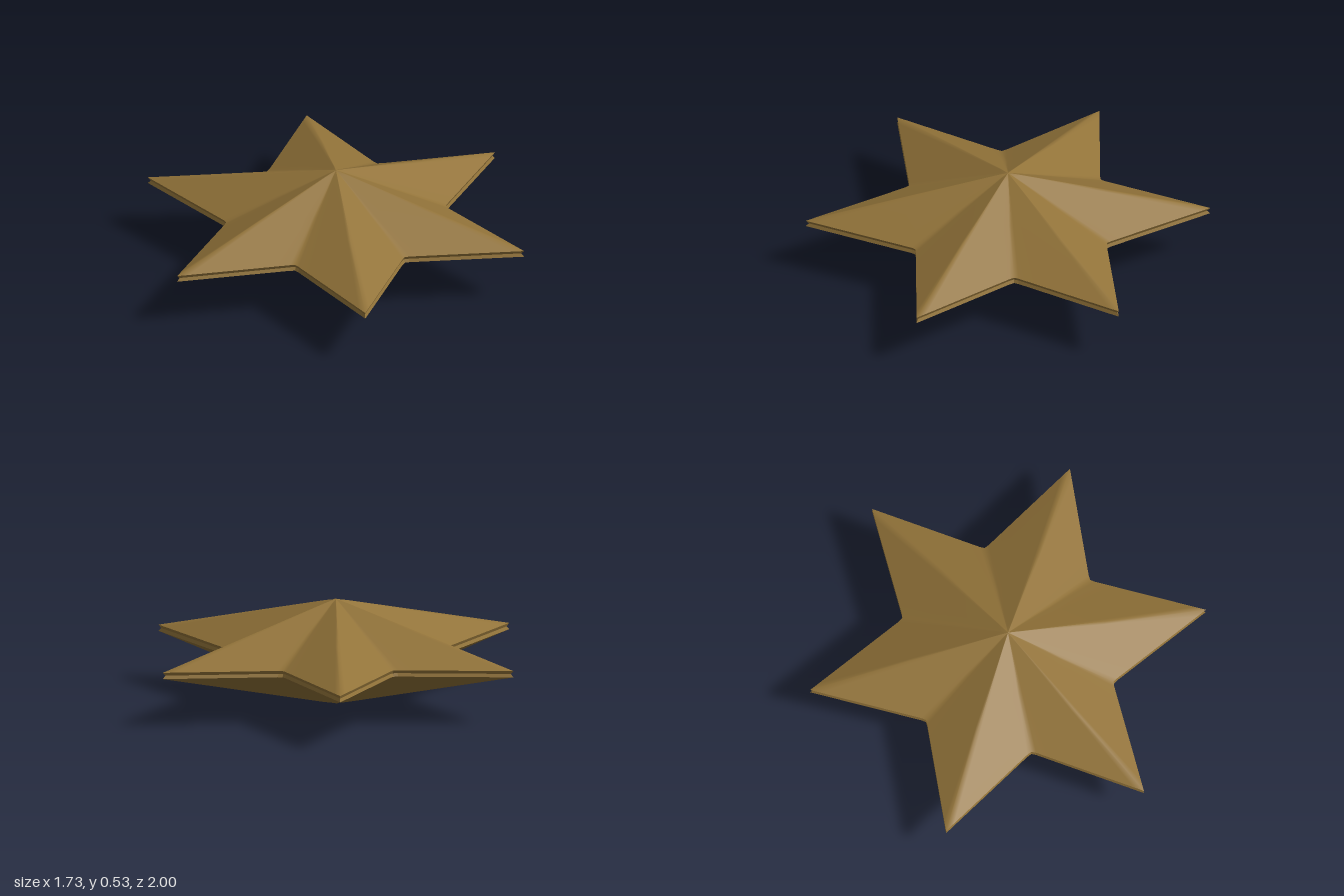
import * as THREE from 'three';

const POINTS = 6;
const MID = 0.264;

// Star outline seen from above: sharp tips on a radius of 1, slightly blunted notches
function starOutline() {
  const pts = [];
  const at = (x, z, a) => [x * Math.cos(a) + z * Math.sin(a), z * Math.cos(a) - x * Math.sin(a)];
  const half = Math.PI / POINTS;
  const tip = [0, 1];
  const corner = at(-0.022, 0.558, half);
  const lerp = (t) => [tip[0] + (corner[0] - tip[0]) * t, tip[1] + (corner[1] - tip[1]) * t];
  const side = [lerp(0.1), lerp(0.85), corner];
  const arm = [tip, ...side, at(0, 0.548, half)];
  // the other side of the notch belongs to the next arm, mirrored
  const mirrored = side.slice().reverse().map(([x, z]) => at(-x, z, 2 * half));
  for (let k = 0; k < POINTS; k++) {
    for (const [x, z] of [...arm, ...mirrored]) pts.push(at(x, z, 2 * half * k));
  }
  return pts;
}

// Skin through scaled copies of the outline, listed from top to bottom as [scale, y]
function loft(outline, layers) {
  const n = outline.length;
  const pos = [];
  const index = [];
  for (const [s, y] of layers) for (const [x, z] of outline) pos.push(x * s, MID + y, z * s);
  for (let r = 0; r < layers.length - 1; r++) {
    for (let i = 0; i < n; i++) {
      const j = (i + 1) % n;
      const a = r * n + i, b = (r + 1) * n + i, c = (r + 1) * n + j, d = r * n + j;
      if (layers[r + 1][0] > 0) index.push(a, b, c);
      if (layers[r][0] > 0) index.push(a, c, d);
    }
  }
  const geo = new THREE.BufferGeometry();
  geo.setAttribute('position', new THREE.Float32BufferAttribute(pos, 3));
  geo.setIndex(index);
  geo.computeVertexNormals();
  return geo;
}

export function createModel() {
  const group = new THREE.Group();
  group.name = 'star';
  const bronze = new THREE.MeshStandardMaterial({ color: 0x927339 });
  bronze.name = 'bronze';
  const outline = starOutline();

  const add = (name, geo) => {
    const mesh = new THREE.Mesh(geo, bronze);
    mesh.name = name;
    group.add(mesh);
  };

  // Faceted faces rising to a softly rounded centre
  const dome = [[0, 0.264], [0.03, 0.259], [0.07, 0.25], [0.5, 0.142], [1, 0.016]];
  add('upperFace', loft(outline, dome));
  add('lowerFace', loft(outline, dome.map(([s, y]) => [s, -y]).reverse()));

  // Thin rim with a shallow V groove, kept crisp
  const rim = loft(outline, [[1, 0.016], [0.985, 0], [1, -0.016]]).toNonIndexed();
  rim.computeVertexNormals();
  add('groovedRim', rim);

  return group;
}
